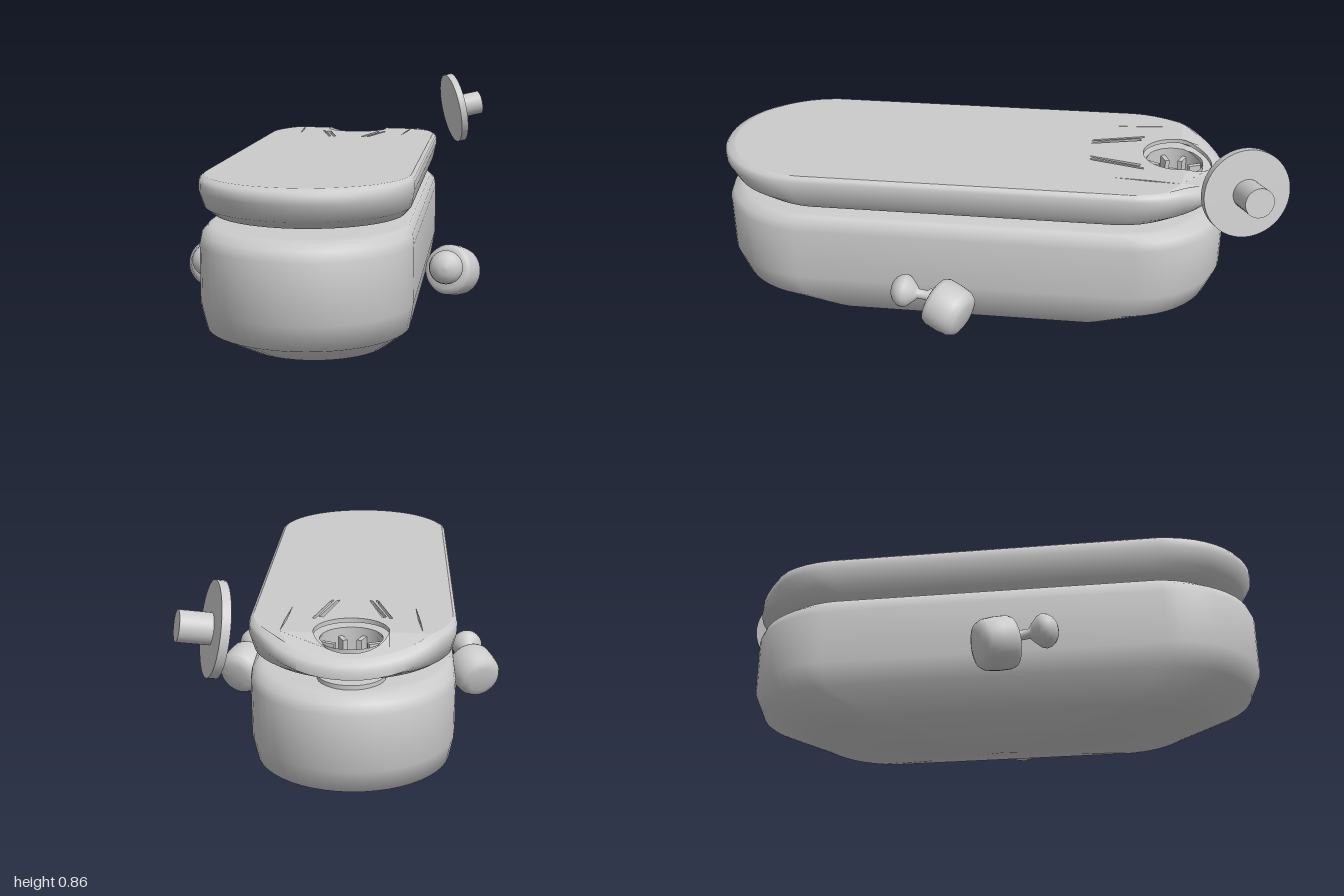
import * as THREE from 'three';
import { toCreasedNormals } from 'three/addons/utils/BufferGeometryUtils.js';

const grey = new THREE.MeshStandardMaterial({ color: 0xcccccc });
const twoSided = new THREE.MeshStandardMaterial({ color: 0xcccccc, side: THREE.DoubleSide });
const SEG = 50, R = 0.34, HALF = 0.575, MID = 0.085, PIT_Z = -0.64;
const UP = new THREE.Vector3(0, 1, 0);

function add(parent, name, geometry, material = grey) {
  const mesh = new THREE.Mesh(geometry, material);
  mesh.name = name;
  parent.add(mesh);
  return mesh;
}

const lathe = (pts, seg) =>
  new THREE.LatheGeometry(pts.map(([x, y]) => new THREE.Vector2(x, y)), seg);

// Stretch a round section into a long oval, in proportion to its radius
const stretch = (z, scale) => MID + z + Math.sign(z) * HALF * scale;

function ovalBody(profile, rule = (y) => y) {
  const g = lathe(profile.map(([s, y]) => [s * R, y]), SEG);
  const p = g.attributes.position;
  for (let i = 0; i < p.count; i++) {
    const r = Math.hypot(p.getX(i), p.getZ(i));
    const z = r < 1e-6 ? MID : stretch(p.getZ(i), r / R);
    p.setZ(i, z);
    p.setY(i, rule(p.getY(i), z));
  }
  return toCreasedNormals(g, 1.0);
}

// The lid top droops towards the tail
const droop = (y, z) => (y > 0.58 ? y - 0.35 * Math.max(0, -0.68 - z) : y);

function ovalShape(scale) {
  const pts = [];
  for (let i = 0; i < SEG; i++) {
    const a = (i / SEG) * Math.PI * 2;
    const z = stretch(R * scale * Math.cos(a), scale);
    pts.push(new THREE.Vector2(R * scale * Math.sin(a), -z));
  }
  return new THREE.Shape(pts);
}

function ellipseHole(rx, rz, z) {
  return new THREE.Path().absellipse(0, -z, rx, rz, 0, Math.PI * 2, true);
}

function plate(shape, y, depth) {
  const g = new THREE.ExtrudeGeometry(shape, { depth, bevelEnabled: false, curveSegments: 32 });
  g.rotateX(-Math.PI / 2).translate(0, y, 0);
  const p = g.attributes.position;
  for (let i = 0; i < p.count; i++) p.setY(i, droop(p.getY(i), p.getZ(i)));
  g.computeVertexNormals();
  return g;
}

function buildLid() {
  const lid = new THREE.Group();
  lid.name = 'lid';
  add(lid, 'lidShell', ovalBody([
    [0, 0.49], [0.7, 0.49], [0.77, 0.495], [0.9, 0.515], [0.965, 0.545],
    [1, 0.6], [1, 0.625], [0.99, 0.637], [0.96, 0.645],
  ], droop), twoSided);

  // Top plate with the tail recess and narrow tapering grooves
  const top = ovalShape(0.96);
  top.holes.push(ellipseHole(0.12, 0.122, -0.65));
  const grooves = [
    [[0.05, -0.34], [0.062, -0.35], [0.11, -0.515], [0.095, -0.52]],
    [[0.07, -0.34], [0.08, -0.345], [0.13, -0.53], [0.12, -0.53]],
    [[0.205, -0.42], [0.212, -0.55], [0.225, -0.66], [0.218, -0.55]],
  ];
  for (const side of [1, -1]) {
    for (const g of grooves) {
      top.holes.push(new THREE.Path(g.map(([x, z]) => new THREE.Vector2(side * x, -z))));
    }
  }
  add(lid, 'lidTop', plate(top, 0.63, 0.015));
  const floor = ovalShape(0.95);
  floor.holes.push(ellipseHole(0.1, 0.1, PIT_Z));
  add(lid, 'recessFloor', plate(floor, 0.612, 0.006));

  // Round well with inward teeth
  const well = new THREE.Group();
  well.name = 'well';
  well.position.z = PIT_Z;
  lid.add(well);
  add(well, 'wellWall', new THREE.CylinderGeometry(0.102, 0.102, 0.085, 32, 1, true), twoSided)
    .position.y = 0.5725;
  add(well, 'wellFloor', new THREE.CylinderGeometry(0.102, 0.102, 0.01, 32)).position.y = 0.53;
  for (let i = 0; i < 8; i++) {
    const a = ((i + 0.5) / 8) * Math.PI * 2;
    const tooth = add(well, 'wellTooth', new THREE.BoxGeometry(0.016, 0.06, 0.045));
    tooth.position.set(Math.sin(a) * 0.08, 0.56, Math.cos(a) * 0.08);
    tooth.rotation.y = a;
  }
  add(well, 'wellCollar', new THREE.CylinderGeometry(0.11, 0.11, 0.02, 32)).position.y = 0.489;
  return lid;
}

// Aim a part's own y axis along a direction
function aim(obj, pos, dir) {
  obj.position.set(...pos);
  obj.quaternion.setFromUnitVectors(UP, new THREE.Vector3(...dir).normalize());
  return obj;
}

function buildSidePod(side) {
  const pod = new THREE.Group();
  pod.name = side > 0 ? 'leftPod' : 'rightPod';
  const barrel = lathe([
    [0, -0.066], [0.05, -0.066], [0.074, -0.058], [0.086, -0.038], [0.09, 0],
    [0.09, 0.045], [0.084, 0.06], [0.07, 0.066], [0, 0.066],
  ], 32);
  aim(add(pod, 'podBarrel', toCreasedNormals(barrel, 0.9)),
    [side * 0.443, 0.22, 0.113], [-0.4 * side, 0.25, 0.88]);
  // Stem flaring into a domed cap
  const cap = lathe([
    [0, -0.13], [0.026, -0.13], [0.026, -0.085], [0.017, -0.075], [0.017, -0.045],
    [0.03, -0.035], [0.053, -0.012], [0.059, 0.004], [0.055, 0.022], [0.042, 0.039],
    [0.022, 0.05], [0, 0.053],
  ], 32);
  aim(add(pod, 'podCap', cap), [side * 0.421, 0.266, 0.27], [-0.03 * side, 0.15, 0.98]);
  return pod;
}

function buildDisc() {
  const disc = new THREE.Group();
  disc.name = 'floatingDisc';
  add(disc, 'discPlate', new THREE.CylinderGeometry(0.147, 0.147, 0.028, 48));
  add(disc, 'discStem', new THREE.CylinderGeometry(0.049, 0.049, 0.11, 32)).position.y = 0.06;
  return aim(disc, [0.395, 0.717, -0.857], [0.93, 0.19, -0.31]);
}

export function createModel() {
  const model = new THREE.Group();
  model.name = 'model';
  // Hull with a shallow pointed keel
  add(model, 'hull', ovalBody([
    [0, 0], [0.725, 0.062], [0.96, 0.155], [1, 0.24], [1, 0.43],
    [0.985, 0.462], [0.94, 0.482], [0.9, 0.485], [0, 0.485],
  ]));
  model.add(buildLid(), buildSidePod(1), buildSidePod(-1), buildDisc());
  return model;
}
